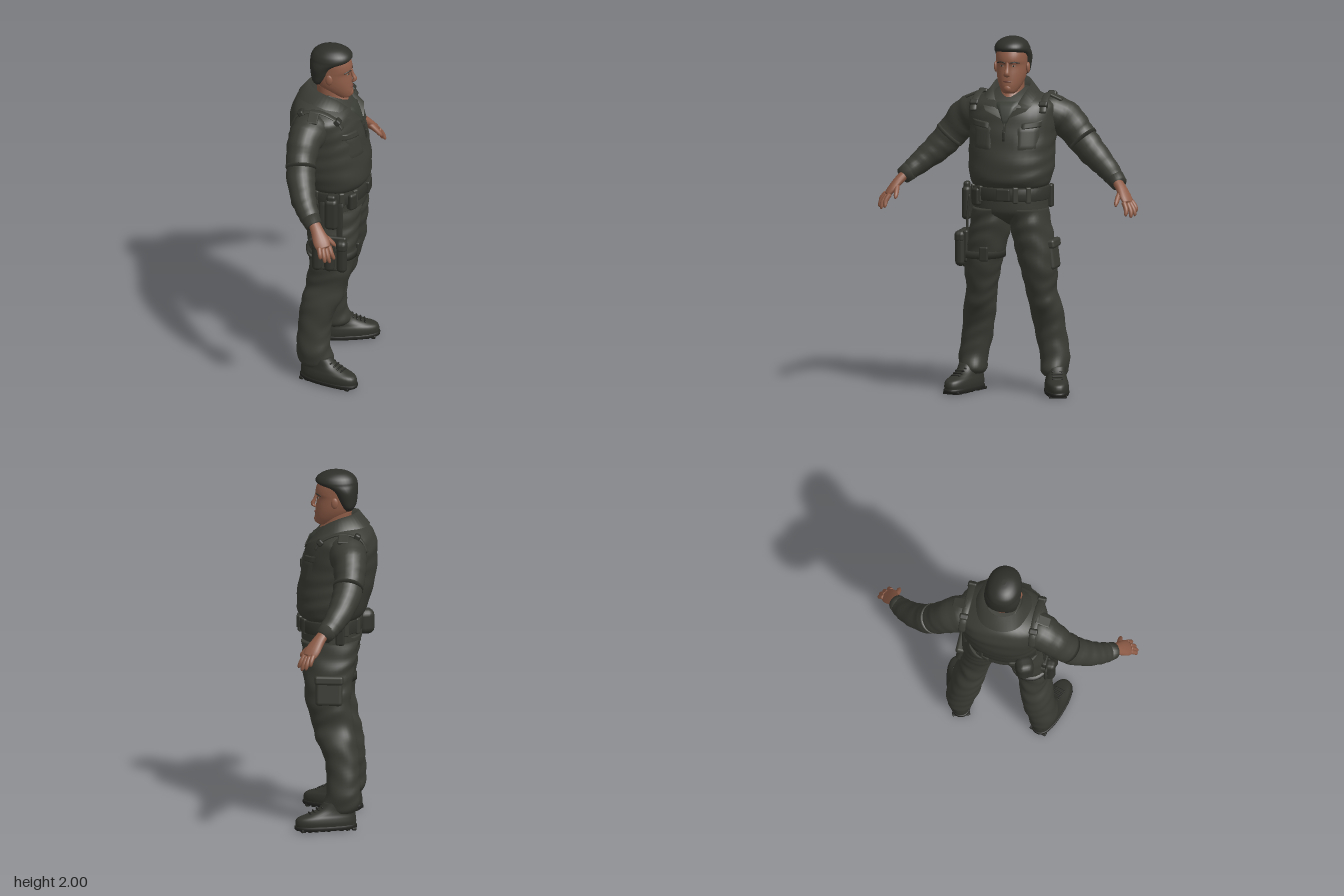
import * as THREE from 'three';
import { RoundedBoxGeometry } from 'three/addons/geometries/RoundedBoxGeometry.js';

const mat = (name, color, side = THREE.FrontSide) => {
  const m = new THREE.MeshStandardMaterial({ color, side });
  m.name = name;
  return m;
};
const cloth = mat('olive cloth', 0x3a3b34, THREE.DoubleSide);
const shirt = mat('dark green shirt', 0x373b33, THREE.DoubleSide);
const gear = mat('dark webbing', 0x32332d, THREE.DoubleSide);
const leather = mat('boot leather', 0x31322c);
const rubber = mat('sole rubber', 0x242521);
const skin = mat('skin', 0x8e5c47);
const lip = mat('lips', 0x70443a);
const hairMat = mat('hair', 0x2e2e2a);
const eyeWhite = mat('eye white', 0x8f857b, THREE.DoubleSide);

const V = (x, y, z) => new THREE.Vector3(x, y, z);

// Joins rows of points into a smooth skin
function skinOver(rings, closed) {
  const n = rings[0].length, pos = [], idx = [];
  rings.forEach(r => r.forEach(p => pos.push(p.x, p.y, p.z)));
  for (let i = 0; i < rings.length - 1; i++)
    for (let j = 0; j < (closed ? n : n - 1); j++) {
      const a = i * n + j, b = i * n + (j + 1) % n;
      idx.push(a, a + n, b, b, a + n, b + n);
    }
  const g = new THREE.BufferGeometry();
  g.setAttribute('position', new THREE.Float32BufferAttribute(pos, 3));
  g.setIndex(idx);
  g.computeVertexNormals();
  return g;
}
function capped(rings) {
  const mid = r => {
    const c = r.reduce((s, p) => s.add(p), V(0, 0, 0)).divideScalar(r.length);
    return r.map(() => c);
  };
  return skinOver([mid(rings[0]), ...rings, mid(rings[rings.length - 1])], true);
}
// Smooth value between table rows
function sample(rows, f) {
  const i = Math.min(Math.floor(f), rows.length - 2), t = f - i;
  const R = k => rows[Math.max(0, Math.min(rows.length - 1, k))];
  return rows[i].map((b, k) => {
    const a = R(i - 1)[k], c = R(i + 1)[k], d = R(i + 2)[k];
    return b + 0.5 * t * (c - a + t * (2 * a - 5 * b + 4 * c - d + t * (3 * (b - c) + d - a)));
  });
}
const spow = (v, e) => Math.sign(v) * Math.abs(v) ** e;
// Upright form from rows of [y, centre x, half width, back z, front z]
function body(rows, { e = 1, fold = 0, sub = 5, n = 36 } = {}) {
  const rings = [], N = (rows.length - 1) * sub;
  for (let i = 0; i <= N; i++) {
    const [y, x, w, zb, zf] = sample(rows, i / sub);
    rings.push(Array.from({ length: n }, (_, j) => {
      const a = j / n * Math.PI * 2;
      const k = 1 + fold * (Math.sin(y * 62 + 2.2 * Math.sin(a * 2 + y * 9)) + 0.6 * Math.sin(y * 31 + a * 3));
      return V(x + w * k * spow(Math.cos(a), e), y, (zb + zf) / 2 + (zf - zb) / 2 * k * spow(Math.sin(a), e));
    }));
  }
  return capped(rings);
}
// Limb along points of [x, y, z, radius along ref, other radius]
function limb(pts, { ref = V(0, 0, 1), fold = 0, sub = 4, n = 16 } = {}) {
  const N = (pts.length - 1) * sub, rings = [];
  for (let i = 0; i <= N; i++) {
    const s = sample(pts, i / sub), c = V(s[0], s[1], s[2]);
    const h = sample(pts, Math.min(i / sub + 0.05, pts.length - 1)), l = sample(pts, Math.max(i / sub - 0.05, 0));
    const t = V(h[0] - l[0], h[1] - l[1], h[2] - l[2]).normalize();
    const u = ref.clone().addScaledVector(t, -ref.dot(t)).normalize(), v = u.clone().cross(t);
    rings.push(Array.from({ length: n }, (_, j) => {
      const a = j / n * Math.PI * 2, k = 1 + fold * Math.sin(i * 1.7 + 2 * Math.sin(a + i * 0.3));
      return c.clone().addScaledVector(u, s[3] * k * Math.cos(a)).addScaledVector(v, s[4] * k * Math.sin(a));
    }));
  }
  return capped(rings);
}
// Thin plate hugging the front (dir 1) or back (dir -1) of a body; corners run round the outline
function plate(rows, e, [A, B, C, D], off, dir = 1) {
  const n = 8, rings = [], mix = (p, q, t) => p + (q - p) * t;
  for (let i = 0; i <= n; i++) {
    rings.push(Array.from({ length: n + 1 }, (_, j) => {
      const u = j / n, v = i / n;
      const x = mix(mix(A[0], B[0], u), mix(D[0], C[0], u), v), y = mix(mix(A[1], B[1], u), mix(D[1], C[1], u), v);
      let k = 0;
      while (k < rows.length - 2 && rows[k + 1][0] < y) k++;
      const t = (y - rows[k][0]) / (rows[k + 1][0] - rows[k][0]);
      const [, cx, w, zb, zf] = sample(rows, k + t);
      const d = (zf - zb) / 2 * Math.max(0, 1 - Math.abs((x - cx) / w) ** (2 / e)) ** (e / 2);
      const edge = i % n === 0 || j % n === 0 ? -0.004 : off;
      return V(x, y, (zb + zf) / 2 + dir * (d + edge));
    }));
  }
  return skinOver(rings, false);
}

const TORSO = [[1.165, 0, .19, -.13, .18], [1.18, 0, .213, -.15, .2], [1.22, 0, .23, -.172, .217], [1.3, 0, .24, -.2, .215],
  [1.4, 0, .24, -.222, .2], [1.5, 0, .245, -.232, .178], [1.58, 0, .25, -.23, .155], [1.63, 0, .235, -.217, .13],
  [1.668, 0, .175, -.195, .092], [1.7, 0, .105, -.155, .05], [1.715, 0, .08, -.11, .02]];
const LEG = [[.1, .235, .06, -.125, .035], [.13, .232, .075, -.145, .055], [.2, .234, .081, -.152, .038], [.3, .215, .086, -.15, .035],
  [.4, .201, .088, -.143, .05], [.5, .187, .09, -.13, .095], [.57, .172, .083, -.112, .115], [.63, .167, .09, -.105, .132], [.7, .162, .1, -.095, .152],
  [.8, .145, .108, -.1, .165], [.9, .125, .113, -.115, .175], [.97, .112, .111, -.125, .18], [1.05, .1, .108, -.13, .185]];
const HEAD = [[1.69, 0, .03, .03, .09], [1.7, 0, .042, 0, .11], [1.73, 0, .061, -.05, .116], [1.765, 0, .075, -.085, .114],
  [1.8, 0, .082, -.1, .11], [1.845, 0, .085, -.105, .104], [1.872, 0, .086, -.11, .113], [1.91, 0, .086, -.11, .106],
  [1.95, 0, .078, -.1, .083], [1.98, 0, .045, -.06, .035]];
const HAIR = [[1.775, 0, .06, -.095, -.05], [1.8, 0, .085, -.112, -.03], [1.84, 0, .095, -.12, 0], [1.88, 0, .101, -.123, .022],
  [1.905, 0, .102, -.123, .055], [1.925, 0, .1, -.122, .1], [1.942, 0, .097, -.119, .113], [1.965, 0, .085, -.106, .102],
  [1.985, 0, .062, -.08, .072], [1.996, 0, .036, -.05, .04], [2, 0, .012, -.02, .012]];

export function createModel() {
  const man = new THREE.Group();
  const add = (name, geo, m, parent = man) => {
    const mesh = new THREE.Mesh(geo, m);
    mesh.name = name;
    parent.add(mesh);
    return mesh;
  };
  const box = (name, m, [x, y, z], [w, h, d], r = .01, parent = man) => {
    const b = add(name, new RoundedBoxGeometry(w, h, d, 2, r), m, parent);
    b.position.set(x, y, z);
    return b;
  };

  // Jacket, neck and open collar
  add('jacket', body(TORSO, { e: .9, fold: .009 }), cloth);
  add('neck', body([[1.55, 0, .08, -.09, .07], [1.64, 0, .072, -.085, .1], [1.68, 0, .068, -.085, .085], [1.71, 0, .066, -.085, .07], [1.77, 0, .066, -.09, .06]]), skin);
  add('undershirt', plate(TORSO, .9, [[-.075, 1.655], [.075, 1.655], [.006, 1.52], [-.006, 1.52]], .007), shirt);
  add('zip', plate(TORSO, .9, [[-.008, 1.54], [.008, 1.54], [.008, 1.43], [-.008, 1.43]], .009), gear);
  box('zipPull', gear, [0, 1.47, .192], [.016, .04, .012], .004);
  const round = pts => new THREE.CatmullRomCurve3([...pts.map(p => V(-p[0], p[1], p[2])).reverse(), ...pts.slice(1).map(p => V(...p))]).getPoints(40);
  const fold = round([[0, 1.772, -.13], [.075, 1.762, -.095], [.106, 1.742, -.02], [.09, 1.695, .065], [.02, 1.56, .176]]);
  const edge = round([[0, 1.695, -.19], [.1, 1.692, -.155], [.152, 1.682, -.04], [.152, 1.645, .07], [.115, 1.6, .155]]);
  const stand = round([[0, 1.69, -.1], [.06, 1.68, -.08], [.08, 1.66, -.02], [.075, 1.63, .06], [.02, 1.55, .15]]);
  add('collar', skinOver([edge, fold, stand], false), cloth);

  // Head
  add('head', body(HEAD, { e: .95 }), skin);
  add('hair', body(HAIR, { e: .95, fold: .006 }), hairMat);
  add('nose', limb([[0, 1.866, .106, .008, .008], [0, 1.83, .117, .009, .011], [0, 1.806, .128, .012, .015], [0, 1.793, .12, .008, .017], [0, 1.788, .11, .004, .008]]), skin);
  add('mouth', limb([[-.027, 1.758, .105, .003, .003], [0, 1.761, .116, .004, .005], [.027, 1.758, .105, .003, .003]]), lip);
  add('chin', new THREE.SphereGeometry(.027, 16, 12), skin).position.set(0, 1.72, .094);

  // Hips, belt and buckle
  const PELVIS = [[.95, 0, .015, -.03, .05], [.975, 0, .06, -.1, .12], [1.02, 0, .195, -.137, .18], [1.08, 0, .21, -.142, .192], [1.18, 0, .208, -.14, .19]];
  add('hips', body(PELVIS, { e: .95 }), cloth);
  add('belt', body([[1.1, 0, .208, -.14, .19], [1.102, 0, .218, -.15, .205], [1.165, 0, .218, -.15, .205], [1.167, 0, .208, -.14, .19]], { e: .92, sub: 2 }), gear);
  box('buckle', gear, [0, 1.135, .205], [.08, .07, .025], .008);
  for (const a of [.9, 1.25, 2.3, 2.75, 3.6, 4.1, 5.2, 5.7]) {
    const b = box('beltLoop', cloth, [.216 * Math.cos(a), 1.133, .027 + .176 * Math.sin(a)], [.032, .09, .024], .008);
    b.rotation.y = Math.PI / 2 - a;
  }

  for (const s of [1, -1]) {
    // Trousers and cargo pocket
    add('trouserLeg', body(LEG.map(([y, x, ...r]) => [y, s * x, ...r]), { e: .93, fold: .021 }), cloth);
    box('cargoPocket', cloth, [s * .236, .785, .02], [.05, .16, .15], .02).rotation.z = s * .12;
    box('pocketFlap', cloth, [s * .238, .85, .02], [.058, .05, .16], .015).rotation.z = s * .12;
    add('hipPocket', plate(PELVIS, .95, [[s * .05, 1.08], [s * .15, 1.08], [s * .14, 1.03], [s * .05, 1.03]], .006, -1), cloth);

    // Boots
    const boot = new THREE.Group();
    boot.name = 'boot';
    boot.position.set(s * .254, 0, 0);
    boot.rotation.y = s * .3;
    man.add(boot);
    add('bootUpper', body([[.025, 0, .064, -.133, .207], [.05, 0, .067, -.135, .21], [.075, 0, .064, -.133, .197], [.095, 0, .058, -.13, .145],
      [.12, 0, .055, -.13, .085], [.16, 0, .055, -.125, .045]], { e: .84 }), leather, boot);
    add('bootSole', body([[.008, 0, .064, -.133, .205], [.012, 0, .068, -.138, .213], [.028, 0, .069, -.139, .215], [.032, 0, .064, -.133, .205]], { e: .82, sub: 2 }), rubber, boot);
    for (let i = 0; i < 9; i++) if (i !== 3) box('tread', rubber, [0, .008, -.115 + i * .036], [.1, .016, .024], .004, boot);
    for (let i = 0; i < 4; i++) box('lace', rubber, [0, .1 + i * .011, .128 - i * .022], [.06, .009, .01], .004, boot).rotation.x = .6;

    // Sleeves with cuffs and elbow seam
    const X = pts => pts.map(([x, ...r]) => [s * x, ...r]);
    add('sleeve', limb(X([[.13, 1.59, -.06, .09, .07], [.21, 1.57, -.08, .105, .1], [.29, 1.525, -.1, .094, .1], [.36, 1.445, -.102, .084, .088], [.435, 1.36, -.086, .079, .08],
      [.52, 1.285, -.05, .067, .066], [.58, 1.232, -.01, .057, .054], [.615, 1.2, .02, .047, .045]]), { fold: .03, n: 24, sub: 5 }), cloth);
    add('sleeveSeam', limb(X([[.375, 1.43, -.099, .086, .089], [.388, 1.415, -.097, .085, .088]]), { n: 24, sub: 1 }), cloth);
    add('cuff', limb(X([[.59, 1.223, -.002, .054, .053], [.62, 1.197, .025, .048, .047]]), { n: 24, sub: 1 }), cloth);

    // Hands
    const spread = V(-s * .35, 0, .94);
    add('palm', limb(X([[.6, 1.215, .015, .032, .026], [.635, 1.178, .045, .036, .026], [.672, 1.128, .078, .046, .022], [.693, 1.098, .096, .04, .016]]), { ref: spread }), skin);
    [[.672, 1.105, .122, .69, 1.035, .152], [.69, 1.1, .108, .715, 1.025, .133], [.7, 1.102, .092, .731, 1.032, .11], [.704, 1.108, .072, .733, 1.052, .085]].forEach(([a, b, c, d, e, f]) =>
      add('finger', limb(X([[a, b, c, .014, .014], [(a + d) / 2 + .008, (b + e) / 2, (c + f) / 2 + .003, .013, .013], [d, e + .008, f, .01, .01], [d - .003, e, f, .004, .004]]), { n: 10 }), skin));
    add('thumb', limb(X([[.645, 1.165, .06, .017, .017], [.635, 1.132, .105, .015, .015], [.632, 1.1, .138, .012, .012], [.632, 1.085, .15, .004, .004]]), { ref: V(1, 0, 0), n: 10 }), skin);

    // Shoulder strap, buckles and chest pocket
    add('shoulderStrap', limb(X([[.2, 1.59, .1, .02, .008], [.198, 1.64, .06, .02, .007], [.195, 1.678, -.04, .02, .007], [.198, 1.655, -.15, .02, .007], [.2, 1.58, -.19, .02, .008]]), { ref: V(1, 0, 0) }), cloth);
    for (const [y, z, tilt] of [[1.63, .072, -.8], [1.665, -.135, -.5]])
      box('strapBuckle', gear, [s * .198, y, z], [.05, .035, .035], .01).rotation.x = tilt;
    box('epaulette', cloth, [s * .235, 1.662, -.06], [.09, .016, .06], .007).rotation.z = -s * .4;
    add('chestPocket', plate(TORSO, .9, [[s * .07, 1.52], [s * .19, 1.52], [s * .185, 1.38], [s * .075, 1.38]], .004), cloth);
    add('chestFlap', plate(TORSO, .9, [[s * .09, 1.535], [s * .205, 1.55], [s * .2, 1.51], [s * .09, 1.498]], .01), cloth);

    // Ears, eyes and brows
    const ear = add('ear', new THREE.SphereGeometry(1, 14, 10), skin);
    ear.scale.set(.011, .031, .02);
    ear.position.set(s * .092, 1.828, 0);
    add('eye', plate(HEAD, .95, [[s * .023, 1.849], [s * .045, 1.85], [s * .045, 1.843], [s * .023, 1.842]], .003), eyeWhite);
    add('iris', plate(HEAD, .95, [[s * .03, 1.85], [s * .038, 1.85], [s * .038, 1.842], [s * .03, 1.842]], .0045), gear);
    add('brow', limb(X([[.014, 1.863, .109, .004, .003], [.038, 1.868, .101, .005, .004], [.062, 1.861, .08, .004, .003]])), hairMat);
  }

  // Belt pouches on the right hip, one small pouch on the left
  box('radioPouch', gear, [-.247, 1.065, .045], [.052, .19, .075], .024);
  box('radioTop', gear, [-.247, 1.165, .045], [.035, .04, .05], .014);
  box('backPouch', gear, [-.15, 1.1, -.15], [.1, .145, .105], .04).rotation.y = .4;
  box('frontPouch', gear, [-.165, 1.115, .145], [.055, .1, .045], .015).rotation.y = -.6;
  box('sidePouch', gear, [.213, 1.11, -.04], [.03, .13, .05], .012);

  // Thigh rig with drop straps, three pouches and leg straps
  box('thighPanel', gear, [-.236, .83, .04], [.03, .18, .18], .012);
  for (const z of [-.03, .04, .11]) {
    box('magazinePouch', gear, [-.268, .8, z], [.06, .17, .06], .028);
    box('pouchFlap', gear, [-.27, .88, z], [.062, .07, .062], .025);
  }
  for (const z of [-.01, .09])
    add('dropStrap', limb([[-.22, 1.12, z, .018, .006], [-.232, 1.0, z, .018, .006], [-.236, .9, z, .018, .006]]), gear);
  const strapRow = y => [y, -.148, .114, -.106, .172];
  add('thighStrap', body([strapRow(.765), strapRow(.805)], { e: .93, sub: 1 }), gear);
  box('strapClip', gear, [-.12, .795, .172], [.05, .08, .02], .007);
  const ring = add('carryLoop', new THREE.TorusGeometry(.03, .007, 8, 20), gear);
  ring.position.set(-.255, .84, -.06);
  ring.rotation.y = Math.PI / 2;
  ring.scale.y = 1.8;

  // The figure faces +x
  man.name = 'officer';
  man.rotation.y = Math.PI / 2;
  const root = new THREE.Group();
  root.name = 'figure';
  root.add(man);
  return root;
}
